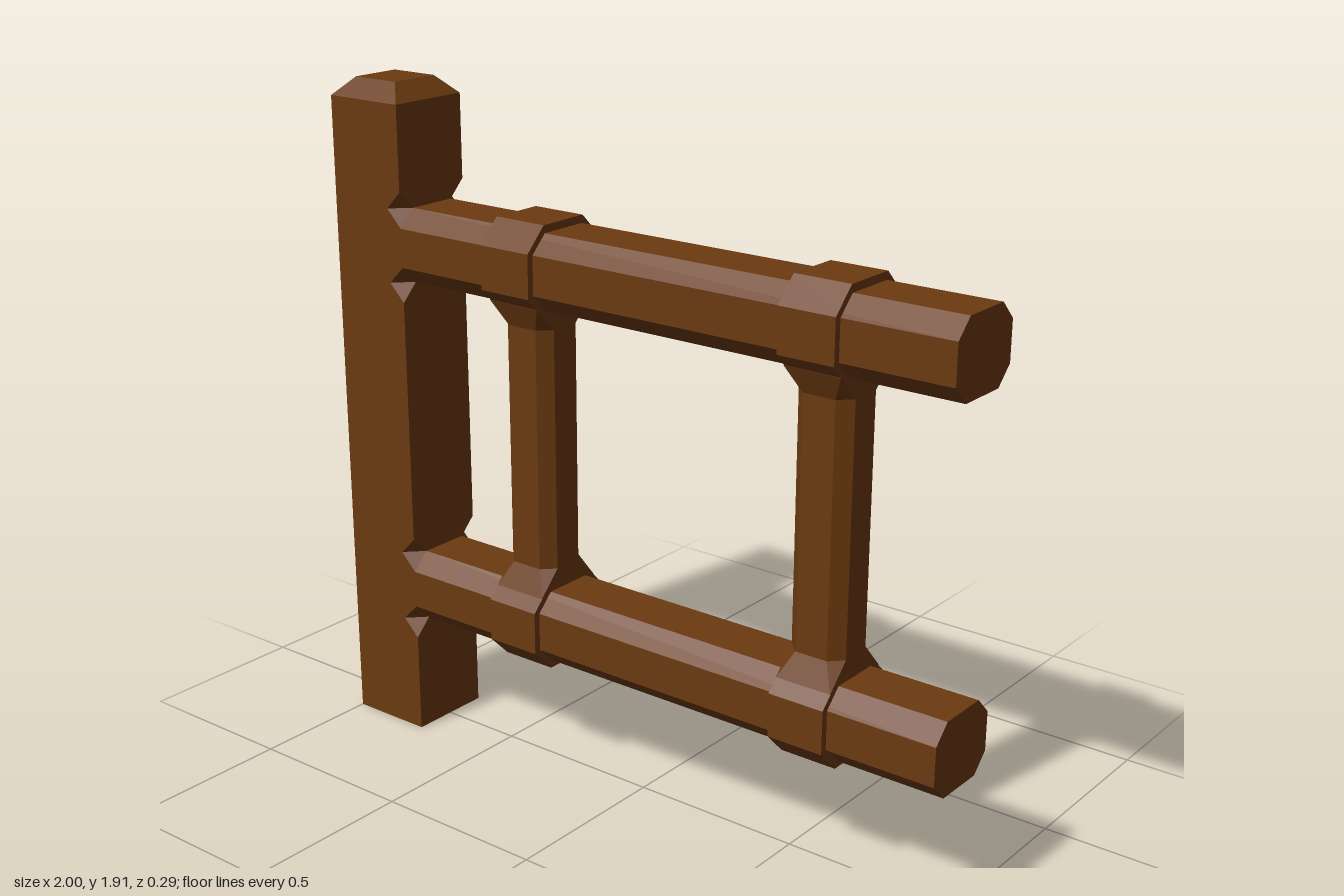
import * as THREE from 'three';

// Rectangular section at height y; c chamfers the +x corners, d the -x corners.
function section(y, x0, x1, hz, c = 0, d = c) {
  return [
    [x1, c - hz], [x1 - c, -hz], [x0 + d, -hz], [x0, d - hz],
    [x0, hz - d], [x0 + d, hz], [x1 - c, hz], [x1, hz - c],
  ].map(([x, z]) => new THREE.Vector3(x, y, z));
}

// Flat-faced solid through a stack of sections, capped at both ends.
function loft(rings) {
  const points = [];
  const tri = (a, b, c) => {
    if (new THREE.Triangle(a, b, c).getArea() > 1e-7) points.push(a, b, c);
  };
  for (let r = 0; r < rings.length - 1; r++) {
    const lo = rings[r], hi = rings[r + 1];
    for (let i = 0; i < 8; i++) {
      const j = (i + 1) % 8;
      tri(lo[i], lo[j], hi[j]);
      tri(lo[i], hi[j], hi[i]);
    }
  }
  const first = rings[0], last = rings[rings.length - 1];
  for (let i = 1; i < 7; i++) {
    tri(first[0], first[i + 1], first[i]);
    tri(last[0], last[i], last[i + 1]);
  }
  const geometry = new THREE.BufferGeometry().setFromPoints(points);
  geometry.computeVertexNormals();
  return geometry;
}

// Eight-sided beam running along x.
function beam(x0, x1, hy, hz, chamfer) {
  return loft([section(x0, -hy, hy, hz, chamfer), section(x1, -hy, hy, hz, chamfer)])
    .rotateZ(-Math.PI / 2);
}

export function createModel() {
  const group = new THREE.Group();
  const wood = new THREE.MeshStandardMaterial({ color: 0x6b3a10 });
  wood.name = 'brown wood';

  const add = (name, geometry, x = 0, y = 0) => {
    const mesh = new THREE.Mesh(geometry, wood);
    mesh.name = name;
    mesh.position.set(x, y, 0);
    group.add(mesh);
  };

  const railHeights = [0.45, 1.47];
  const spindleXs = [-0.3525, 0.6025];
  const railHalf = 0.105, notch = 0.05;

  // Post with notched corners above and below each rail, and a bevelled top
  const post = [section(0, -1, -0.75, 0.125)];
  for (const h of railHeights) {
    for (const edge of [h - railHalf, h + railHalf]) {
      post.push(section(edge - notch, -1, -0.75, 0.125));
      post.push(section(edge, -1, -0.75, 0.125, notch, 0));
      post.push(section(edge + notch, -1, -0.75, 0.125));
    }
  }
  post.push(section(1.865, -1, -0.75, 0.125), section(1.915, -0.95, -0.8, 0.075));
  add('post', loft(post));

  // Rails with a collar at each spindle
  for (const h of railHeights) {
    add('rail', beam(-0.75, 1, railHalf, 0.125, 0.05), 0, h);
    for (const x of spindleXs) {
      add('collar', beam(-0.0825, 0.0825, 0.127, 0.145, 0.066), x, h);
    }
  }

  // Spindles, flaring from octagonal to rectangular at the collars
  const w = 0.0825;
  const spindle = loft([
    section(-0.415, -w, w, 0.113),
    section(-0.345, -w, w, 0.08, 0.035),
    section(0.345, -w, w, 0.08, 0.035),
    section(0.415, -w, w, 0.113),
  ]);
  for (const x of spindleXs) add('spindle', spindle, x, 0.96);

  return group;
}
